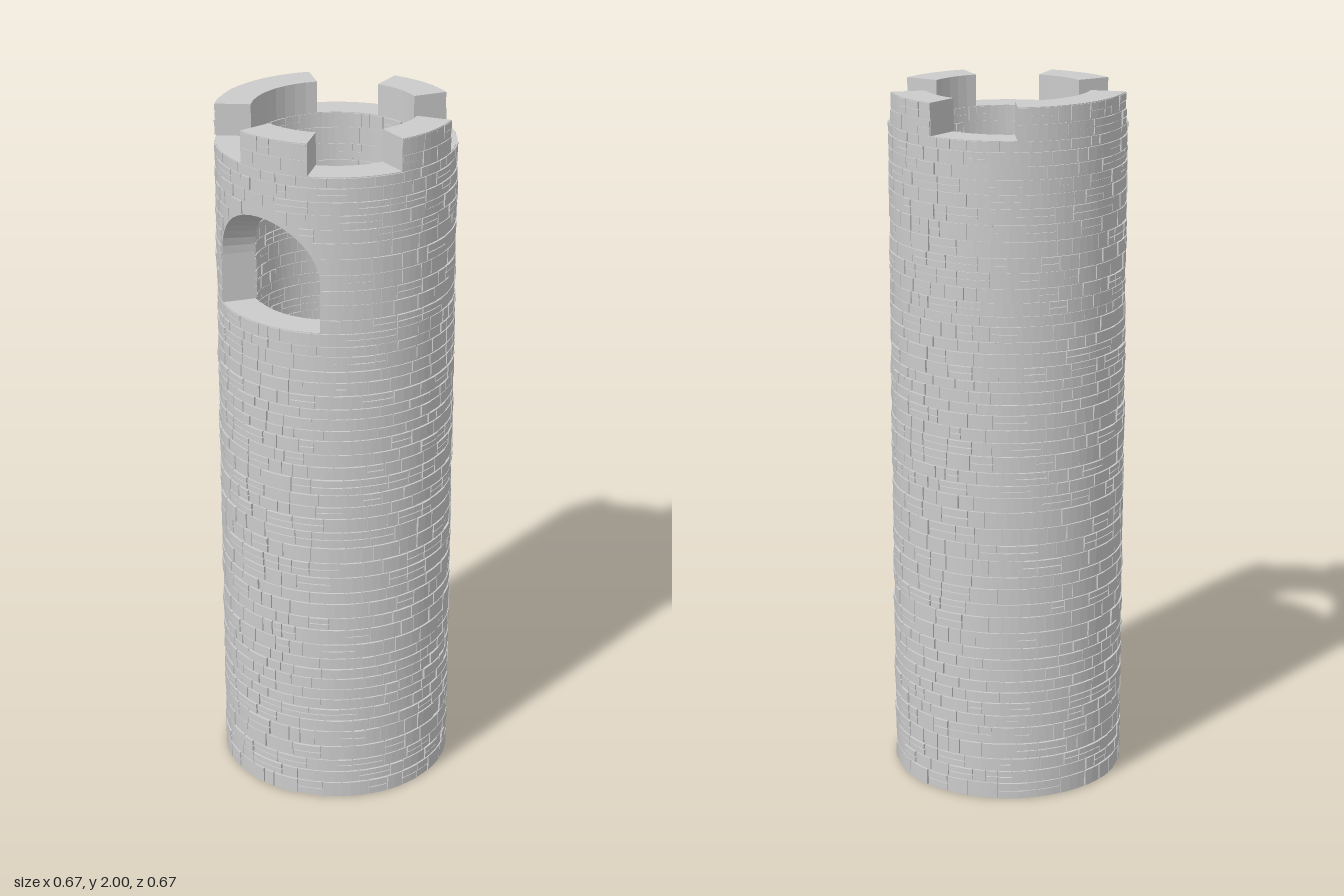
import * as THREE from 'three';

const WALL_OUT = 0.329, WALL_IN = 0.235;
const SILL = 1.47, SPRING = 1.61, RISE = 0.165, PARAPET = 1.91, TOP = 2;
const HALF = Math.asin(0.175 / 0.33); // half angle of the window
const TAU = Math.PI * 2, DEG = Math.PI / 180;

// Battlements as [start, end] angles, measured from the front towards +x
const MERLONS = [[-10.6, 26.2], [71.3, 108], [152.7, 189.6], [-127, -54.4]]
  .map(pair => pair.map(d => d * DEG));

function seeded(seed) {
  return () => {
    seed = (seed * 16807) % 2147483647;
    return seed / 2147483647;
  };
}

// Evenly spaced angles from a0 to a1
function span(a0, a1, step) {
  const n = Math.max(1, Math.ceil((a1 - a0) / step - 1e-6));
  return Array.from({ length: n + 1 }, (_, i) => a0 + (a1 - a0) * i / n);
}

// Curved block: a four-cornered section swept through a list of angles.
// bottom may be a height or a function of (angle, isInner).
function addBlock(out, angles, rIn, rOut, bottom, top, caps = true) {
  const low = typeof bottom === 'function' ? bottom : () => bottom;
  const rings = angles.map(a => {
    const at = (r, y) => [r * Math.sin(a), y, r * Math.cos(a)];
    return [at(rIn, low(a, true)), at(rOut, low(a, false)), at(rOut, top), at(rIn, top)];
  });
  const quad = (a, b, c, d) => out.push(...a, ...b, ...c, ...a, ...c, ...d);
  for (let i = 0; i < rings.length - 1; i++) {
    const p = rings[i], q = rings[i + 1];
    for (let j = 0; j < 4; j++) {
      const k = (j + 1) % 4;
      quad(p[j], q[j], q[k], p[k]);
    }
  }
  if (caps) {
    const [s, e] = [rings[0], rings[rings.length - 1]];
    quad(s[0], s[1], s[2], s[3]);
    quad(e[3], e[2], e[1], e[0]);
  }
}

// Height of the window arch; the opening drops slightly towards the inside
function archHeight(a, inner) {
  const t = Math.sin(a) / Math.sin(HALF);
  return SPRING + (RISE - (inner ? 0.022 : 0)) * Math.sqrt(Math.max(0, 1 - t * t));
}

// Half angle kept free of bricks at height y
function openingAt(y) {
  if (y < SILL - 0.001 || y > SPRING + RISE) return 0;
  if (y <= SPRING) return HALF;
  const t = (y - SPRING) / RISE;
  return Math.asin(Math.sin(HALF) * Math.sqrt(1 - t * t));
}

// One course of irregular bricks between two angles
function addCourse(out, rand, y0, y1, a0, a1, inside, radius) {
  const joint = 0.004;
  let a = a0;
  while (a < a1 - 0.001) {
    let b = a + 0.1 + rand() * 0.2;
    if (a1 - b < 0.08) b = a1;
    const proud = rand() * 0.004;
    const gap = joint / radius / 2;
    const angles = span(a + gap, b - gap, 0.09);
    const yb = y0 + joint / 2, yt = y1 - joint / 2;
    // Some bricks are two thin stones stacked
    const parts = y1 - y0 > 0.036 && rand() < 0.3 ? [[yb, (yb + yt) / 2 - 0.0015], [(yb + yt) / 2 + 0.0015, yt]] : [[yb, yt]];
    parts.forEach(([lo, hi], i) => {
      const r = proud + i * 0.0012;
      if (inside) addBlock(out, angles, radius - r, radius + 0.006, lo, hi);
      else addBlock(out, angles, radius - 0.006, radius + r, lo, hi);
    });
    a = b;
  }
}

// Courses filling one storey of the wall
function addBand(out, rand, y0, y1, inside, radius) {
  const n = Math.round((y1 - y0) / 0.04);
  const weights = Array.from({ length: n }, () => 0.75 + rand() * 0.5);
  const total = weights.reduce((s, w) => s + w, 0);
  let y = y0;
  for (const w of weights) {
    const next = y + (y1 - y0) * w / total;
    const open = openingAt(y + 1e-4);
    const start = open || rand() * 0.3;
    addCourse(out, rand, y, next, start, start + TAU - 2 * open, inside, radius);
    y = next;
  }
}

function makeMesh(name, positions) {
  const geometry = new THREE.BufferGeometry();
  geometry.setAttribute('position', new THREE.Float32BufferAttribute(positions, 3));
  geometry.computeVertexNormals();
  const mesh = new THREE.Mesh(geometry, new THREE.MeshStandardMaterial({ color: 0xcccccc, flatShading: true }));
  mesh.name = name;
  return mesh;
}

export function createModel() {
  const tower = new THREE.Group();
  tower.name = 'roundTower';
  const rand = seeded(4711);
  const step = TAU / 40;

  // Hollow wall, open at both ends, with the arched window at the front
  const wall = [];
  addBlock(wall, span(0, TAU, step), WALL_IN, WALL_OUT, 0, SILL, false);
  addBlock(wall, span(HALF, TAU - HALF, step), WALL_IN, WALL_OUT, SILL, PARAPET);
  const archAngles = span(-Math.PI / 2, Math.PI / 2, Math.PI / 20)
    .map(t => Math.asin(Math.sin(HALF) * Math.sin(t)));
  addBlock(wall, archAngles, WALL_IN, WALL_OUT, archHeight, PARAPET, false);
  tower.add(makeMesh('towerWall', wall));

  // Battlements
  const merlons = [];
  for (const [a, b] of MERLONS) addBlock(merlons, span(a, b, step), WALL_IN - 0.002, WALL_OUT + 0.001, PARAPET, TOP);
  tower.add(makeMesh('battlements', merlons));

  // Plain course of large stones at the foot
  const foot = [];
  addCourse(foot, rand, 0, 0.05, 0, TAU, false, WALL_OUT + 0.002);
  tower.add(makeMesh('footStones', foot));

  // Bricks outside and inside, storey by storey
  const outer = [], inner = [];
  const storeys = [[0.05, 0.68, 0.0025], [0.683, 1.36, 0.0025], [1.36, SILL, 0.001], [SILL, PARAPET, 0.001]];
  for (const [y0, y1, extra] of storeys) {
    addBand(outer, rand, y0, y1, false, WALL_OUT + extra);
    addBand(inner, rand, y0, y1, true, WALL_IN - 0.001);
  }
  tower.add(makeMesh('outerBricks', outer));
  tower.add(makeMesh('innerBricks', inner));

  // Facing stones on the battlements
  const facing = [];
  for (const [a, b] of MERLONS) {
    addCourse(facing, rand, PARAPET, 1.955, a, b, false, WALL_OUT + 0.001);
    addCourse(facing, rand, 1.955, TOP, a, b, false, WALL_OUT + 0.001);
  }
  tower.add(makeMesh('battlementStones', facing));

  return tower;
}
